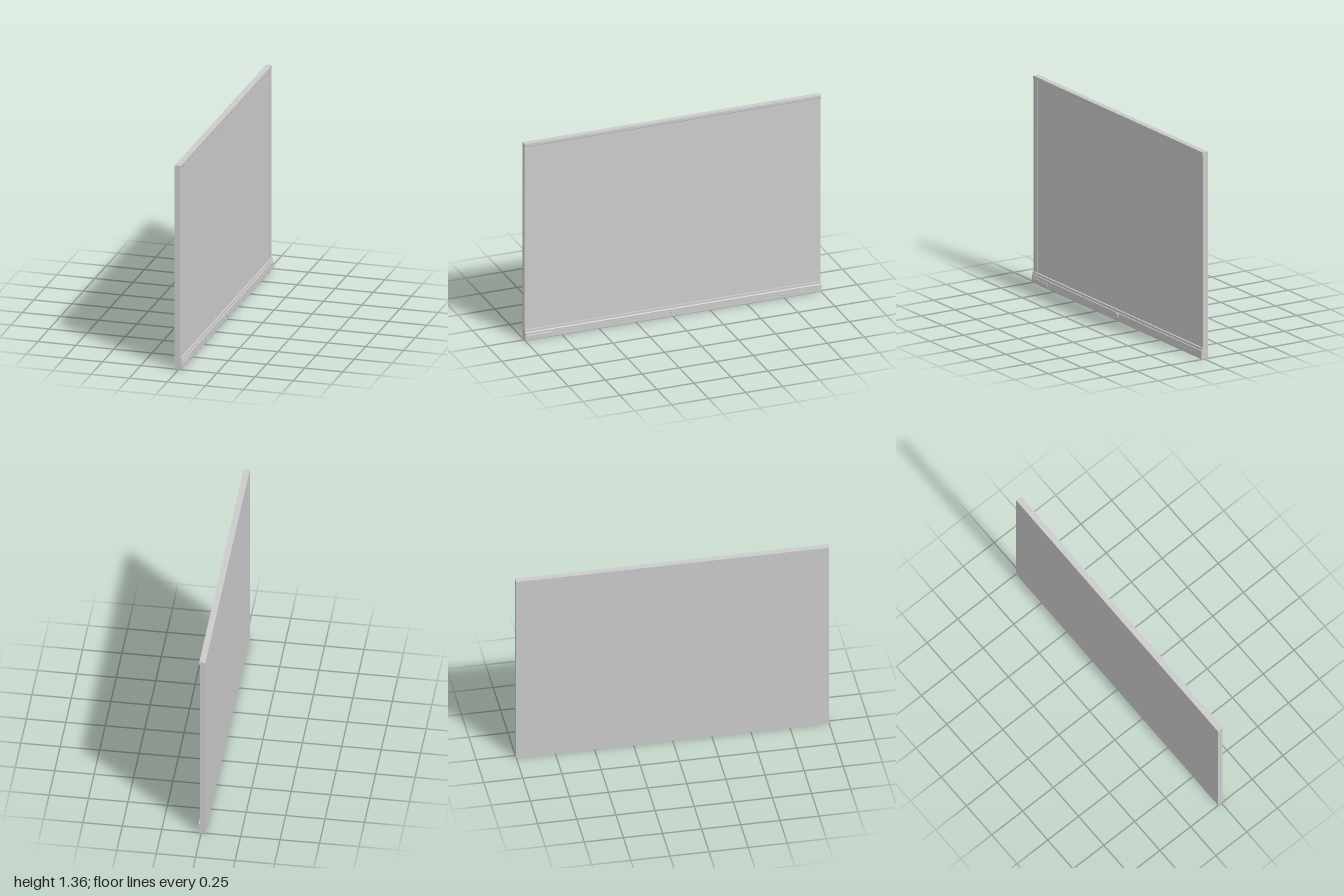
import * as THREE from 'three';

const material = new THREE.MeshStandardMaterial({ color: 0xcccccc, flatShading: true });
const smooth = new THREE.MeshStandardMaterial({ color: 0xcccccc });
const BACK = -0.0265, FACE = 0.009, HEIGHT = 1.355;

export function createModel() {
  const group = new THREE.Group();
  group.name = 'displayPanel';

  function add(name, geometry, x = 0, y = 0, z = 0, mat = material) {
    const mesh = new THREE.Mesh(geometry, mat);
    mesh.name = name;
    mesh.position.set(x, y, z);
    group.add(mesh);
    return mesh;
  }
  // Box given by its limits on each axis
  function box(name, x0, x1, y0, y1, z0, z1) {
    return add(name, new THREE.BoxGeometry(x1 - x0, y1 - y0, z1 - z0),
      (x0 + x1) / 2, (y0 + y1) / 2, (z0 + z1) / 2);
  }
  // Cross-section in x, y drawn out along z
  function rail(name, points, z0, z1) {
    const shape = new THREE.Shape(points.map(([x, y]) => new THREE.Vector2(x, y)));
    const geometry = new THREE.ExtrudeGeometry(shape, { depth: z1 - z0, bevelEnabled: false });
    return add(name, geometry, 0, 0, z0);
  }

  // Recessed screen with the housing behind it
  box('screen', BACK, 0.005, 0.06, 1.34, -0.962, 0.962);

  // Side frames
  for (const side of [-1, 1]) {
    const z = [0.962 * side, side].sort((a, b) => a - b);
    box('sideFrame', BACK, FACE, 0.06, 1.34, z[0], z[1]);
  }

  // Top frame with a small overhanging lip
  rail('topFrame', [[BACK, 1.335], [0.011, 1.335], [0.013, 1.338],
    [0.013, HEIGHT], [BACK, HEIGHT]], -1, 1);

  // Bottom control bar with a stepped, chamfered upper edge
  rail('bottomBar', [[BACK, 0], [0.018, 0], [0.02, 0.004], [0.02, 0.053],
    [0.016, 0.058], [0.016, 0.072], [BACK, 0.072]], -1, 1);

  // Raised port cover at the left end of the bar
  rail('portCover', [[0.018, 0.016], [0.022, 0.016], [0.0225, 0.02],
    [0.0225, 0.036], [0.018, 0.04]], 0.82, 0.99);
  for (let i = 0; i < 5; i++) {
    const z = 0.84 + i * 0.03;
    box('portSocket', 0.02, 0.023, 0.023, 0.031, z, z + 0.016);
  }

  // Round power button, its axis facing out of the bar
  const button = add('powerButton', new THREE.LatheGeometry([
    [0, 0], [0.02, 0], [0.02, 0.005], [0.0185, 0.0075], [0.0185, 0.0075], [0, 0.0075],
  ].map(([r, h]) => new THREE.Vector2(r, h)), 32), 0.019, 0.035, 0, smooth);
  button.rotation.z = -Math.PI / 2;

  // Three slim keys with rounded ends
  for (const z of [-0.737, -0.801, -0.865]) {
    const key = add('controlKey', new THREE.CapsuleGeometry(0.0055, 0.02, 4, 12), 0.02, 0.025, z, smooth);
    key.rotation.x = Math.PI / 2;
    key.scale.x = 0.3;
  }

  // Groups of small vent ribs along the top
  for (let g = -2; g <= 2; g++) {
    for (let i = -3; i <= 3; i++) {
      const z = g * 0.36 + i * 0.02;
      box('topVent', -0.011, -0.005, HEIGHT - 0.002, HEIGHT + 0.0005, z - 0.005, z + 0.005);
    }
  }

  return group;
}
